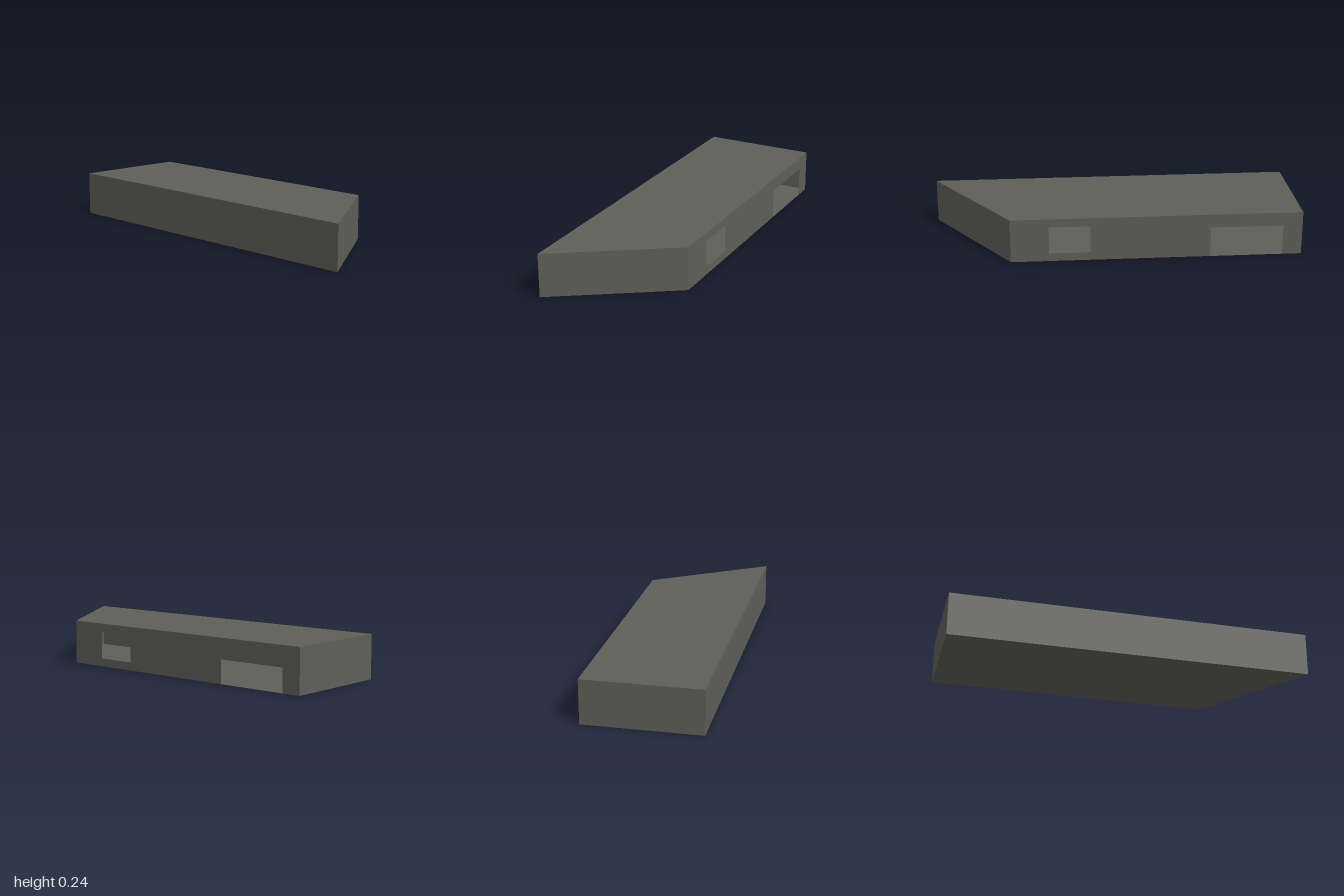
import * as THREE from 'three';

const W = 0.317, H = 0.242, FRONT = 0.58; // half width, height, z of the short front corner

export function createModel() {
  const group = new THREE.Group();
  const concrete = new THREE.MeshStandardMaterial({ color: 0x5f5f59, side: THREE.DoubleSide });
  concrete.name = 'dark grey';

  const add = (name, geometry) => {
    const mesh = new THREE.Mesh(geometry, concrete);
    mesh.name = name;
    group.add(mesh);
    return mesh;
  };
  const shapeOf = (pts) => new THREE.Shape(pts.map(([x, y]) => new THREE.Vector2(x, y)));

  // plan outline as [x, z]
  const plan = [[-W, -1], [W, -1], [W, FRONT], [-W, 1]];

  // floor faces down, roof faces up
  add('floor', new THREE.ShapeGeometry(shapeOf(plan)).rotateX(Math.PI / 2));
  add('roof', new THREE.ShapeGeometry(shapeOf(plan.map(([x, z]) => [x, -z]))).rotateX(-Math.PI / 2))
    .position.y = H;

  // plain thin walls between two plan points, facing outwards
  const wall = (name, [x1, z1], [x2, z2]) => {
    const mesh = add(name, new THREE.PlaneGeometry(Math.hypot(x2 - x1, z2 - z1), H));
    mesh.rotation.y = Math.atan2(z1 - z2, x2 - x1);
    mesh.position.set((x1 + x2) / 2, H / 2, (z1 + z2) / 2);
  };
  wall('frontWall', plan[3], plan[2]);
  wall('backWall', plan[1], plan[0]);
  wall('plainSideWall', plan[0], plan[3]);

  // side wall with a doorway notch and a window hole, drawn as [-z, y]
  const side = shapeOf([
    [-FRONT, 0], [0.5, 0], [0.5, 0.167], [0.895, 0.167], [0.895, 0], [1, 0], [1, H], [-FRONT, H],
  ]);
  side.holes.push(shapeOf([[-0.373, 0.045], [-0.373, 0.195], [-0.15, 0.195], [-0.15, 0.045]]));
  add('openSideWall', new THREE.ShapeGeometry(side).rotateY(Math.PI / 2)).position.x = W;

  return group;
}
